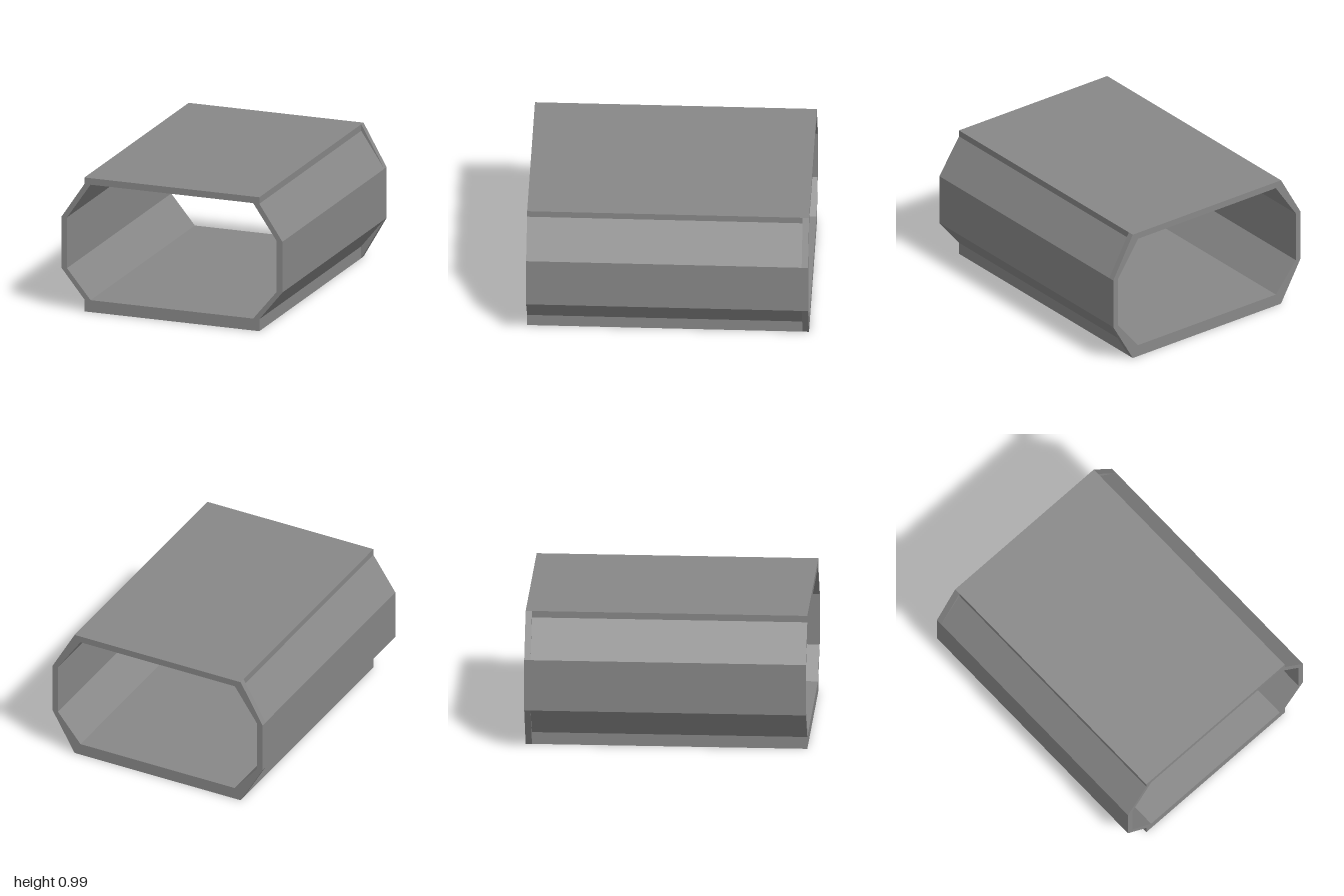
import * as THREE from 'three';

const material = new THREE.MeshStandardMaterial({ color: 0x888888, flatShading: true });
const RIM_Z = -0.955; // where the tube meets the rear rim
const POCKET_Y = 0.07; // ceiling of the recess under the floor

const points = (list) => list.map(([x, y]) => new THREE.Vector2(x, y));

// Closed outline from its right half, listed from bottom to top
function mirrored(half) {
  const left = half.map(([x, y]) => [-x, y]).reverse();
  return points([...half, ...left]);
}

// Hollow section swept along z
function ring(name, half, z0, z1) {
  const shape = new THREE.Shape(mirrored(half));
  const bore = [[0.62, 0.088], [0.8, 0.305], [0.8, 0.68], [0.62, 0.942]];
  shape.holes.push(new THREE.Path(mirrored(bore)));
  const geometry = new THREE.ExtrudeGeometry(shape, { depth: z1 - z0, bevelEnabled: false });
  geometry.translate(0, 0, z0);
  const mesh = new THREE.Mesh(geometry, material);
  mesh.name = name;
  return mesh;
}

export function createModel() {
  const group = new THREE.Group();
  group.name = 'tunnelSection';

  // Tube: roof slab, thin sloped panels, side walls and upper floor
  group.add(ring('tube', [
    [0.667, POCKET_Y], [0.667, 0.088], [0.843, 0.305],
    [0.843, 0.68], [0.667, 0.942], [0.667, 0.99],
  ], RIM_Z, 1));

  // Rear rim: fills the stepped corners out to a full octagon
  group.add(ring('rearRim', [
    [0.667, POCKET_Y], [0.667, 0], [0.843, 0.305], [0.843, 0.68], [0.667, 0.99],
  ], -1, RIM_Z));

  // Floor base with a recess underneath, beside the right rear edge
  const plan = new THREE.Shape(points([[-0.667, -1], [0.667, -1], [0.667, 1], [-0.667, 1]]));
  plan.holes.push(new THREE.Path(points([
    [-0.627, -0.99], [-0.45, -0.99], [-0.45, -0.51], [-0.627, -0.51],
  ])));
  const base = new THREE.ExtrudeGeometry(plan, { depth: POCKET_Y, bevelEnabled: false });
  base.rotateX(Math.PI / 2).translate(0, POCKET_Y, 0);
  const floorBase = new THREE.Mesh(base, material);
  floorBase.name = 'floorBase';
  group.add(floorBase);

  return group;
}
